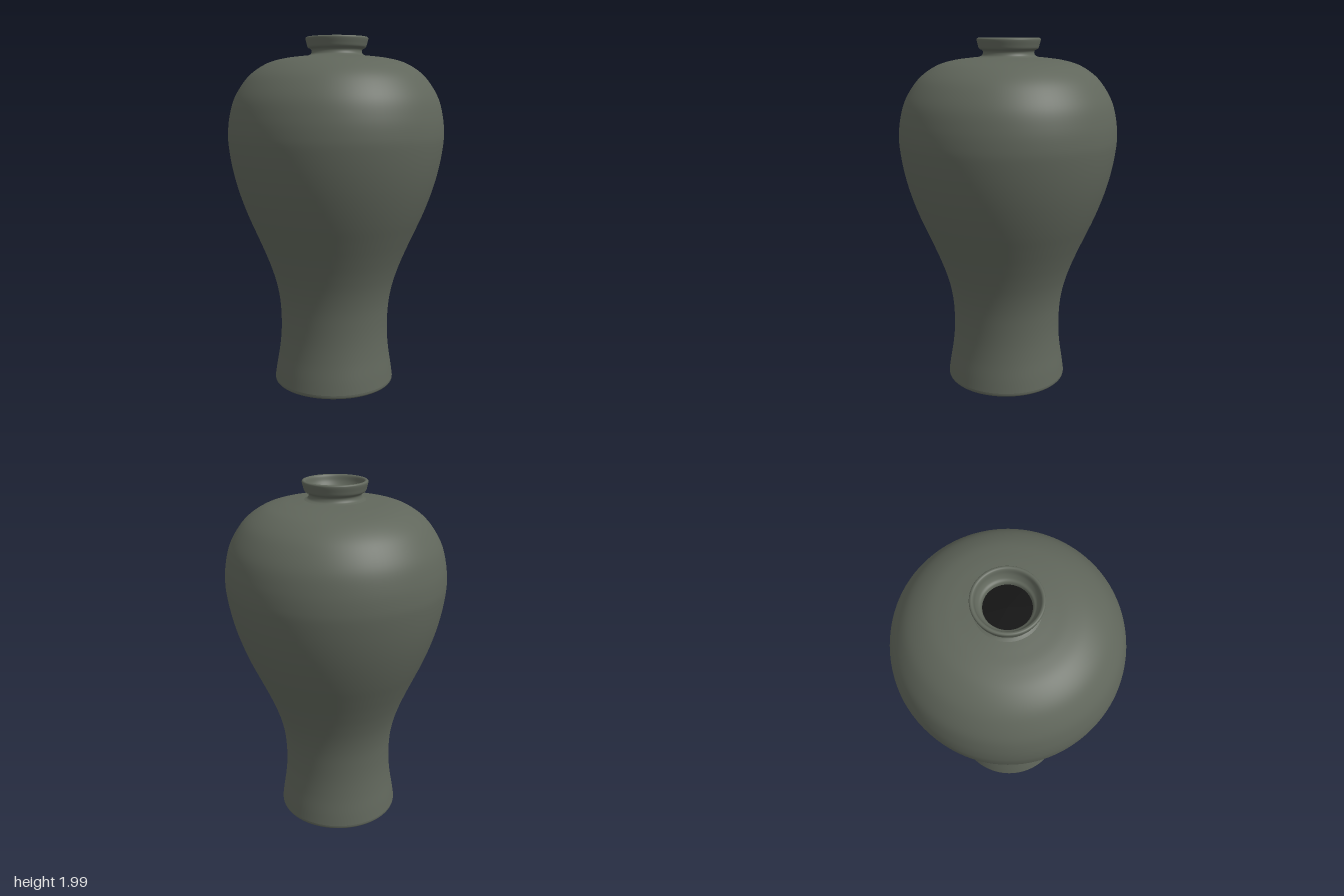
import * as THREE from 'three';

const SEGMENTS = 96;

// Smooth curve through [radius, height] pairs
function profile(pairs, divisions) {
  const pts = pairs.map(([r, y]) => new THREE.Vector2(r, y));
  return new THREE.SplineCurve(pts).getPoints(divisions).map(p => new THREE.Vector2(Math.max(p.x, 0), p.y));
}

// Hand-thrown lean: the axis drifts slightly with height
function lean(geometry) {
  const pos = geometry.attributes.position;
  for (let i = 0; i < pos.count; i++) {
    const y = pos.getY(i);
    pos.setX(i, pos.getX(i) - 0.011 + 0.0105 * y);
    pos.setZ(i, pos.getZ(i) - 0.003 + 0.003 * y);
  }
  return geometry;
}

export function createModel() {
  const group = new THREE.Group();
  group.name = 'vase';

  const glaze = new THREE.MeshStandardMaterial({ color: 0x60665b });
  glaze.name = 'grey green glaze';
  const dark = new THREE.MeshStandardMaterial({ color: 0x0a0a0a });
  dark.name = 'dark interior';

  function addLathe(name, pairs, divisions) {
    const mesh = new THREE.Mesh(lean(new THREE.LatheGeometry(profile(pairs, divisions), SEGMENTS)), glaze);
    mesh.name = name;
    group.add(mesh);
  }

  // Recessed underside with a small central boss and a foot ring
  addLathe('footUnderside', [
    [0, 0.022], [0.035, 0.026], [0.07, 0.036], [0.15, 0.038], [0.25, 0.034],
    [0.275, 0.014], [0.295, 0.008], [0.33, 0.006], [0.345, 0.014], [0.348, 0.03],
  ], 50);

  // Flared foot, waist, broad shoulder
  addLathe('body', [
    [0.348, 0.03], [0.338, 0.1], [0.322, 0.2], [0.313, 0.3], [0.313, 0.4],
    [0.321, 0.5], [0.341, 0.6], [0.373, 0.7], [0.413, 0.8], [0.457, 0.9],
    [0.501, 1.0], [0.539, 1.1], [0.57, 1.2], [0.593, 1.3], [0.608, 1.4],
    [0.611, 1.47], [0.602, 1.56], [0.575, 1.66], [0.522, 1.75], [0.464, 1.81],
    [0.385, 1.857], [0.3, 1.881], [0.22, 1.892], [0.165, 1.898],
  ], 120);

  // Short neck, flared lip and the inside of the mouth
  addLathe('neckAndLip', [
    [0.165, 1.898], [0.148, 1.906], [0.141, 1.922], [0.146, 1.934], [0.163, 1.944],
    [0.17, 1.965], [0.176, 1.99], [0.172, 1.999], [0.163, 2.0], [0.155, 1.992],
    [0.148, 1.968], [0.136, 1.948], [0.122, 1.936], [0.117, 1.915], [0.117, 1.895],
  ], 70);

  // Dark opening in the throat
  const throat = new THREE.CircleGeometry(0.119, SEGMENTS);
  throat.rotateX(-Math.PI / 2).translate(0, 1.92, 0);
  const opening = new THREE.Mesh(lean(throat), dark);
  opening.name = 'mouthOpening';
  group.add(opening);

  return group;
}
